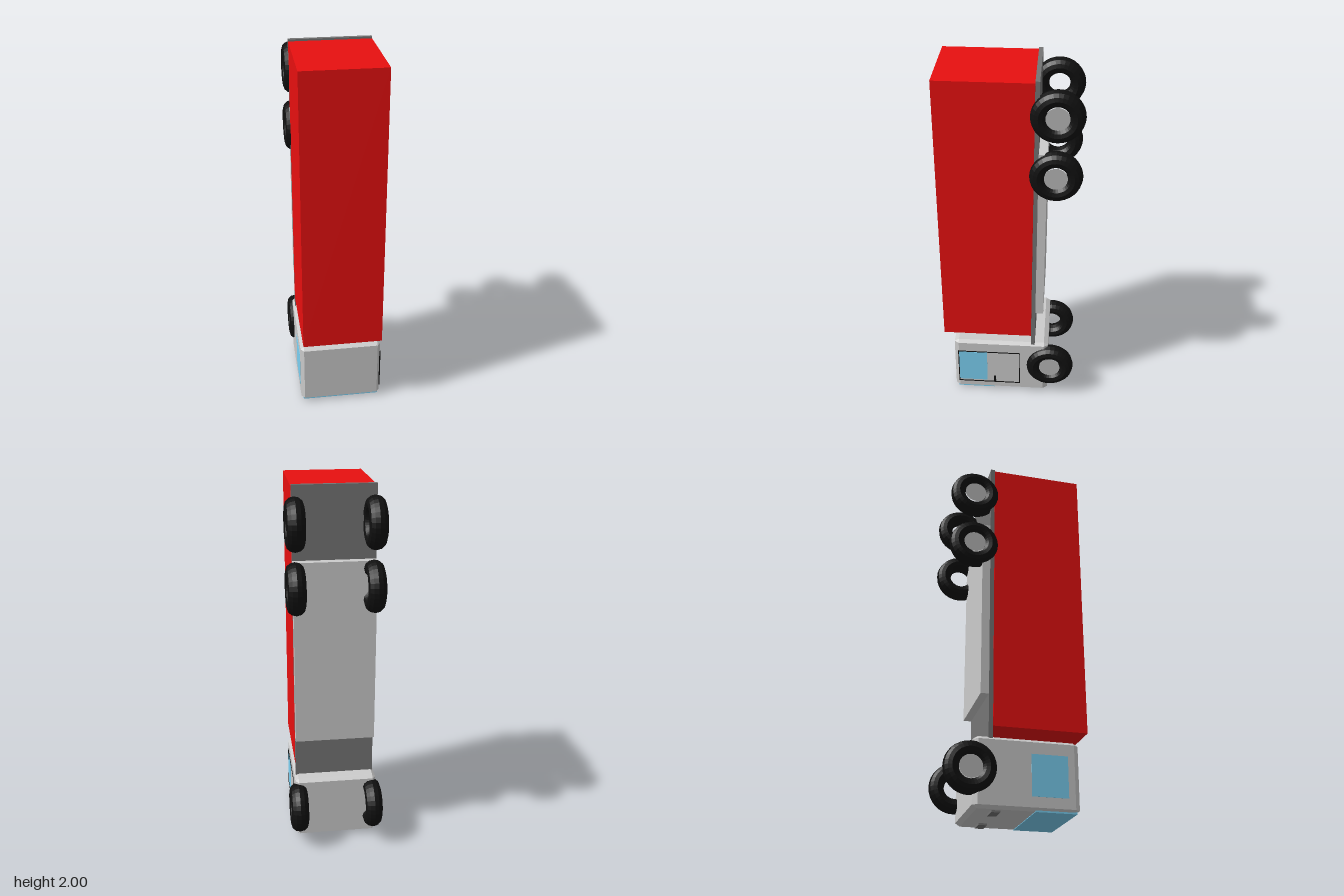
import * as THREE from 'three';
import { ConvexGeometry } from 'three/addons/geometries/ConvexGeometry.js';

const paint = (color, extra = {}) => new THREE.MeshStandardMaterial({ color, ...extra });

export function createModel() {
  const truck = new THREE.Group();
  truck.name = 'truck';

  const grey = paint(0xcccccc);
  const steel = paint(0x757575);
  const red = paint(0xe81010);
  const glass = paint(0x7cd1f3);
  const black = paint(0x101010);
  const rubber = paint(0x101010, { flatShading: true });
  const hubGrey = paint(0xb8b8b8);

  const add = (name, geometry, material, parent = truck) => {
    const mesh = new THREE.Mesh(geometry, material);
    mesh.name = name;
    parent.add(mesh);
    return mesh;
  };

  // Box given by its limits on each axis
  const box = (name, material, [x0, x1], [y0, y1], [z0, z1], parent) => {
    const mesh = add(name, new THREE.BoxGeometry(x1 - x0, y1 - y0, z1 - z0), material, parent);
    mesh.position.set((x0 + x1) / 2, (y0 + y1) / 2, (z0 + z1) / 2);
    return mesh;
  };

  // Box with every edge cut by a chamfer
  const chamferedBox = (w, h, d, cx, cy, cz) => {
    const points = [];
    for (const sx of [-1, 1]) for (const sy of [-1, 1]) for (const sz of [-1, 1]) {
      const x = w / 2, y = h / 2, z = d / 2;
      points.push(
        new THREE.Vector3(sx * x, sy * (y - cy), sz * (z - cz)),
        new THREE.Vector3(sx * (x - cx), sy * y, sz * (z - cz)),
        new THREE.Vector3(sx * (x - cx), sy * (y - cy), sz * z));
    }
    return new ConvexGeometry(points);
  };

  // Cargo box, bed and chassis; the truck stands on its nose
  const bodyX = [-0.222, 0.215];
  box('cargoBox', red, bodyX, [0.43, 1.99], [-0.125, 0.375]);
  box('bed', steel, bodyX, [0.36, 2], [-0.148, -0.1255]);
  box('chassis', grey, bodyX, [0.6, 1.613], [-0.192, -0.148]);

  // Cab
  const cab = new THREE.Group();
  cab.name = 'cab';
  truck.add(cab);
  add('cabBody', chamferedBox(0.454, 0.362, 0.546, 0.018, 0.016, 0.025), grey, cab)
    .position.set(-0.005, 0.191, 0.047);
  box('windshield', glass, [-0.22, 0.21], [0.007, 0.02], [0.09, 0.305], cab);
  box('rightWindow', glass, [-0.234, -0.225], [0.08, 0.295], [0.07, 0.26], cab);
  box('leftWindow', glass, [0.215, 0.224], [0.075, 0.29], [0.13, 0.295], cab);
  for (const x of [-0.15, 0.14])
    box('headlight', steel, [x - 0.045, x + 0.045], [0, 0.02], [-0.125, -0.08], cab);

  // Door outline and handle on the left side
  const doorX = [0.215, 0.225], line = 0.005;
  const y0 = 0.06, y1 = 0.292, z0 = -0.065, z1 = 0.3;
  for (const y of [y0, y1]) box('doorSeam', black, doorX, [y, y + line], [z0, z1], cab);
  for (const z of [z0, z1 - line]) box('doorSeam', black, doorX, [y0, y1], [z, z + line], cab);
  box('doorHandle', black, [0.215, 0.228], [0.07, 0.11], [0.078, 0.092], cab);

  // Wheels: oval tyres with a hub disc on the outer face
  const tyre = new THREE.TorusGeometry(0.096, 0.041, 12, 32);
  tyre.scale(1, 1, 1.17);
  const hub = new THREE.CircleGeometry(0.06, 32);
  const axles = [['frontWheel', 0.21, -0.207], ['middleWheel', 1.49, -0.199], ['rearWheel', 1.82, -0.199]];
  for (const [name, y, rightX] of axles) {
    for (const x of [rightX, 0.207]) {
      const wheel = new THREE.Group();
      wheel.name = name;
      add('tyre', tyre, rubber, wheel);
      add('hub', hub, hubGrey, wheel).position.z = 0.031;
      wheel.position.set(x, y, -0.237);
      wheel.rotation.y = Math.sign(x) * Math.PI / 2;
      truck.add(wheel);
    }
  }
  return truck;
}
